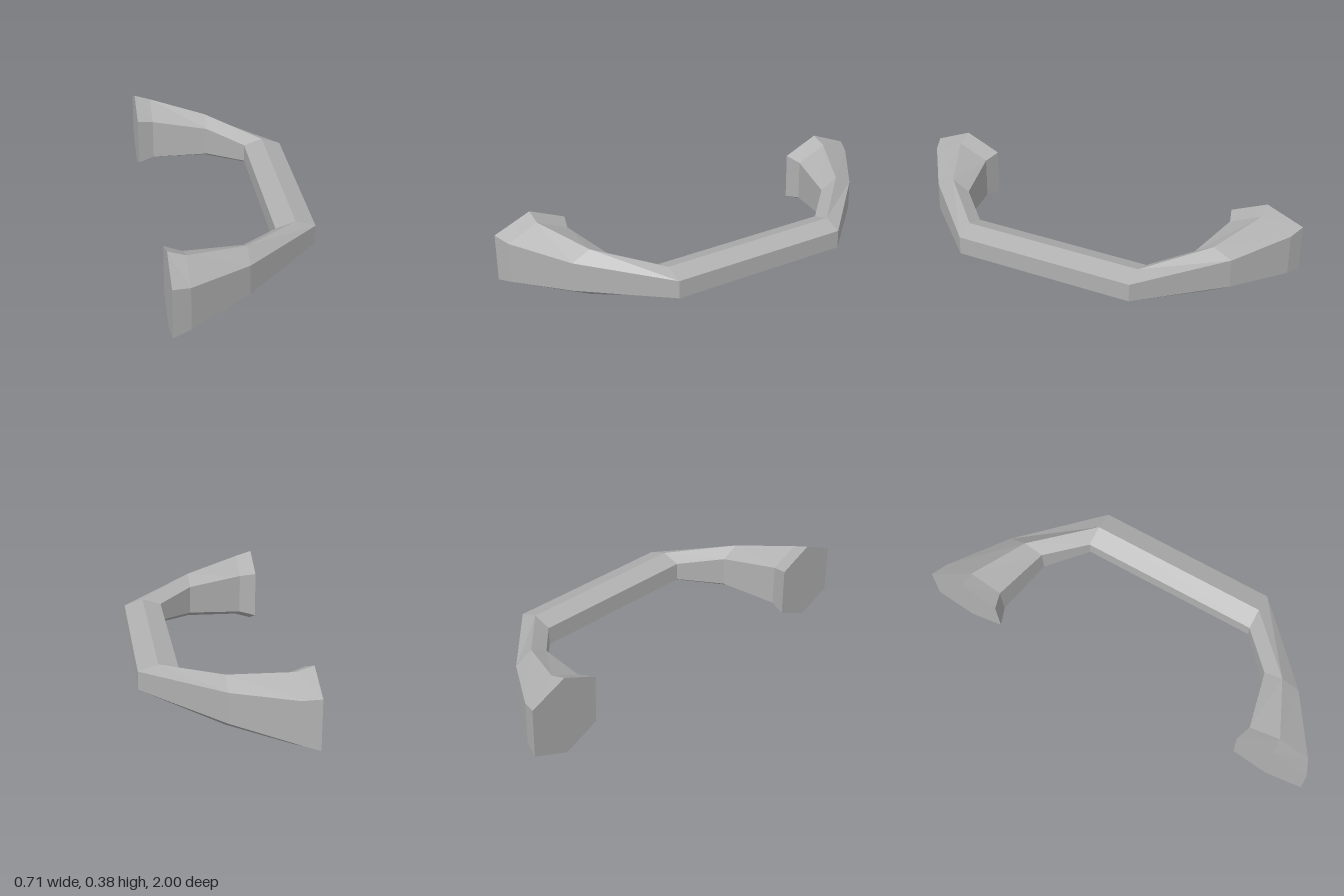
import * as THREE from 'three';

const grey = new THREE.MeshStandardMaterial({ color: 0xb0b0b0 });
grey.name = 'grey';
grey.flatShading = true;

const MID_Y = 0.192;

// Half of the handle: outer, centre and inner [x, z], then half heights of ridge and side
const half = [
  { outer: [-0.355, 1.0], centre: [-0.355, 0.82], inner: [-0.355, 0.645], ridge: 0.191, side: 0.116 },
  { outer: [-0.275, 0.97], centre: [-0.275, 0.82], inner: [-0.275, 0.67], ridge: 0.166, side: 0.1 },
  { outer: [0, 0.785], centre: [0, 0.695], inner: [0, 0.607], ridge: 0.117, side: 0.071 },
  { outer: [0.355, 0.44], centre: [0.263, 0.44], inner: [0.171, 0.44], ridge: 0.0735, side: 0.044 },
];

// Six-sided ring: top ridge, outer side, bottom ridge, inner side
function ring({ outer, centre, inner, ridge, side }, s) {
  const p = ([x, z], h) => new THREE.Vector3(x, MID_Y + h, z * s);
  return [p(centre, ridge), p(outer, side), p(outer, -side), p(centre, -ridge), p(inner, -side), p(inner, side)];
}

// Joins consecutive rings with quads; optional flat caps at the two ends
function loft(rings, capStart, capEnd) {
  const pts = [];
  const n = rings[0].length;
  for (let i = 0; i + 1 < rings.length; i++) {
    for (let j = 0; j < n; j++) {
      const k = (j + 1) % n;
      const a = rings[i][j], b = rings[i][k], c = rings[i + 1][k], d = rings[i + 1][j];
      pts.push(a, b, c, a, c, d);
    }
  }
  const first = rings[0], last = rings[rings.length - 1];
  for (let j = 1; j < n - 1; j++) {
    if (capStart) pts.push(first[0], first[j + 1], first[j]);
    if (capEnd) pts.push(last[0], last[j], last[j + 1]);
  }
  const g = new THREE.BufferGeometry().setFromPoints(pts);
  g.computeVertexNormals();
  return g;
}

export function createModel() {
  const group = new THREE.Group();
  group.name = 'pullHandle';
  const add = (name, geometry) => {
    const mesh = new THREE.Mesh(geometry, grey);
    mesh.name = name;
    group.add(mesh);
  };

  const front = half.map((s) => ring(s, 1));
  const back = half.map((s) => ring(s, -1)).reverse();

  // Flared arms with flat mounting feet, joined by a straight grip
  add('frontArm', loft(front, true, false));
  add('gripBar', loft([front[3], back[0]], false, false));
  add('backArm', loft(back, false, true));
  return group;
}
